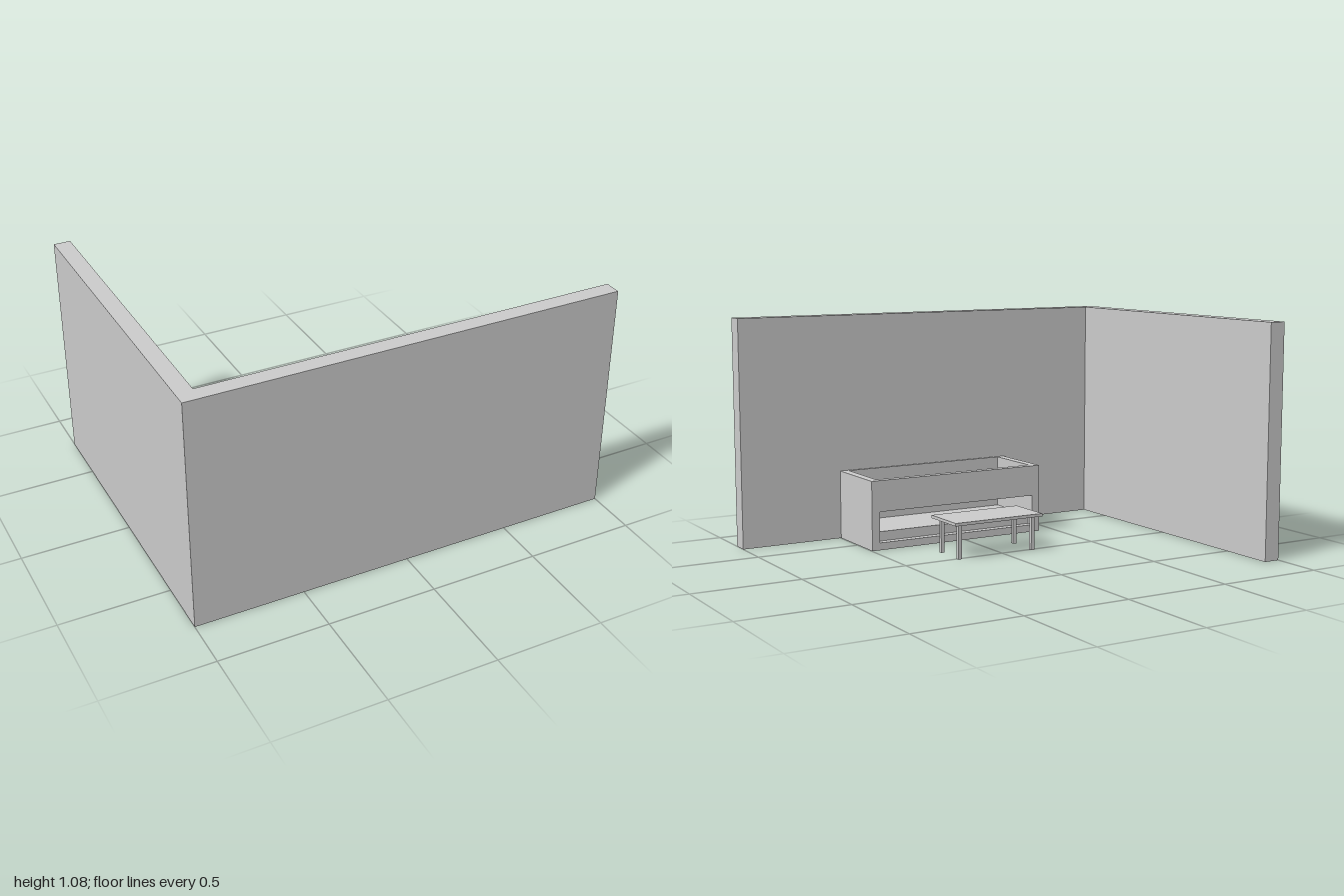
import * as THREE from 'three';

export function createModel() {
  const model = new THREE.Group();
  const grey = new THREE.MeshStandardMaterial({ name: 'plainGrey', color: 0xcccccc });

  // Box given by its extents along each axis
  function box(parent, name, [x0, x1], [y0, y1], [z0, z1]) {
    const mesh = new THREE.Mesh(new THREE.BoxGeometry(x1 - x0, y1 - y0, z1 - z0), grey);
    mesh.position.set((x0 + x1) / 2, (y0 + y1) / 2, (z0 + z1) / 2);
    mesh.name = name;
    parent.add(mesh);
  }

  // Two room walls meeting in a corner
  const walls = new THREE.Group();
  walls.name = 'walls';
  box(walls, 'longWall', [-1, 1], [0, 1.08], [0.69, 0.767]);
  box(walls, 'sideWall', [-1, -0.923], [0, 1.08], [-0.767, 0.69]);
  model.add(walls);

  // Open-topped cabinet against the long wall
  const cabinet = new THREE.Group();
  cabinet.name = 'cabinet';
  const left = 0.497, right = -0.42, height = 0.33, t = 0.04;
  const inner = [right + t, left - t];
  box(cabinet, 'cabinetLeftSide', [left - t, left], [0, height], [0.382, 0.69]);
  box(cabinet, 'cabinetRightSide', [right, right + t], [0, height], [0.382, 0.69]);
  box(cabinet, 'cabinetBackPanel', inner, [0, height], [0.68, 0.69]);
  box(cabinet, 'cabinetShelf', inner, [0, 0.08], [0.382, 0.68]);

  // Front panel with a wide slot
  const front = new THREE.Shape([
    new THREE.Vector2(right, 0), new THREE.Vector2(left, 0),
    new THREE.Vector2(left, height), new THREE.Vector2(right, height),
  ]);
  front.holes.push(new THREE.Path([
    new THREE.Vector2(inner[0], 0.035), new THREE.Vector2(inner[0], 0.182),
    new THREE.Vector2(inner[1], 0.182), new THREE.Vector2(inner[1], 0.035),
  ]));
  const panel = new THREE.Mesh(
    new THREE.ExtrudeGeometry(front, { depth: 0.037, bevelEnabled: false }), grey);
  panel.position.z = 0.345;
  panel.name = 'cabinetFrontPanel';
  cabinet.add(panel);
  model.add(cabinet);

  // Low table with four square legs
  const table = new THREE.Group();
  table.name = 'table';
  table.position.set(0.035, 0, 0.077);
  box(table, 'tableTop', [-0.231, 0.231], [0.16, 0.174], [-0.115, 0.115]);
  for (const x of [-0.195, 0.195])
    for (const z of [-0.081, 0.081])
      box(table, 'tableLeg', [x - 0.009, x + 0.009], [0, 0.16], [z - 0.009, z + 0.009]);
  model.add(table);

  return model;
}
